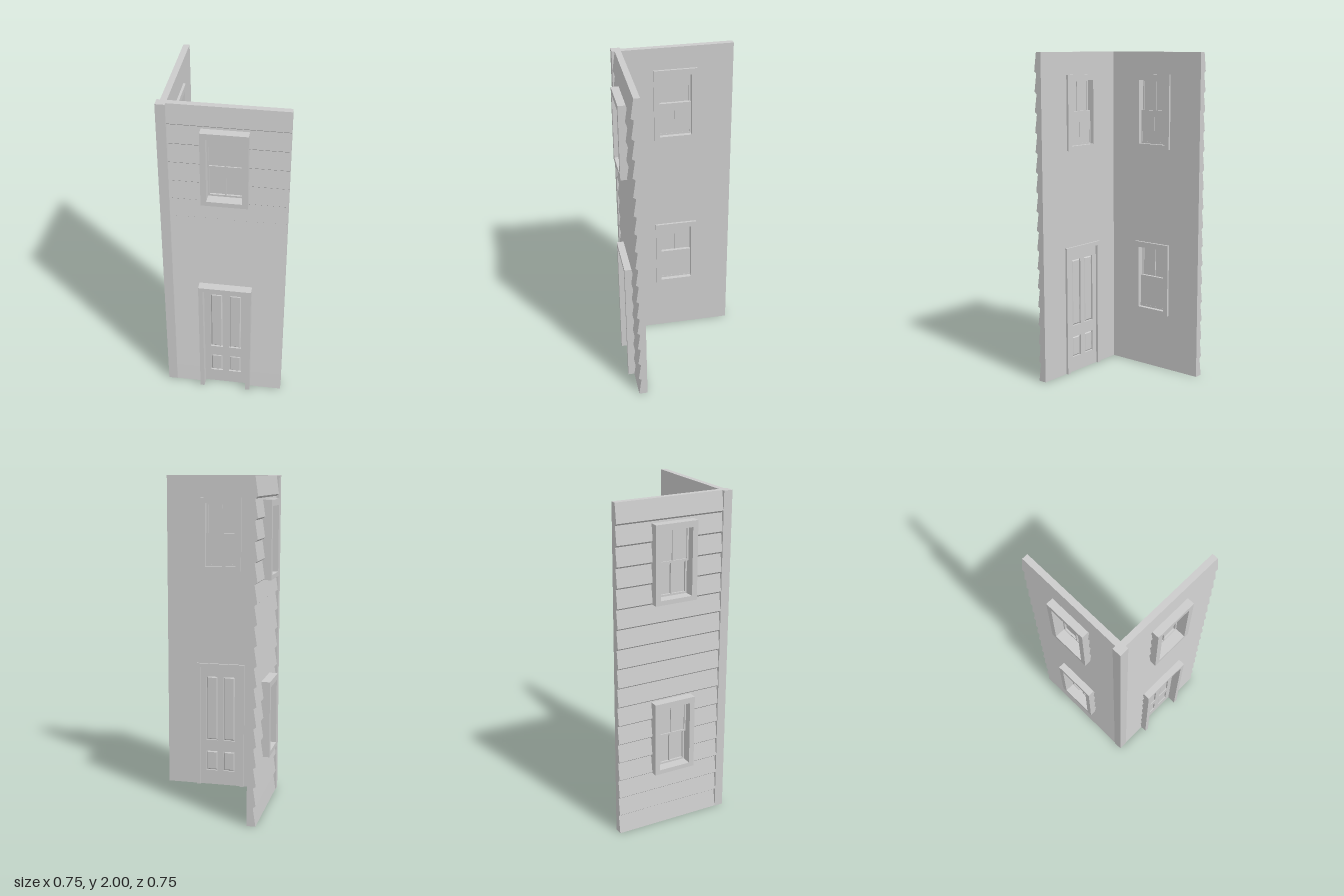
import * as THREE from 'three';

const material = new THREE.MeshStandardMaterial({ color: 0xcccccc, flatShading: true, side: THREE.DoubleSide });
const INNER = 0.287, LOW = 0.323, HIGH = 0.339; // wall depths: inside face, board top, board bottom
const PITCH = 2 / 17, LIP = 0.006;

function mesh(name, geometry) {
  const m = new THREE.Mesh(geometry, material);
  m.name = name;
  return m;
}

function box(name, x0, x1, y0, y1, z0, z1) {
  const g = new THREE.BoxGeometry(x1 - x0, y1 - y0, z1 - z0);
  g.translate((x0 + x1) / 2, (y0 + y1) / 2, (z0 + z1) / 2);
  return mesh(name, g);
}

function rect(Type, [x0, x1, y0, y1]) {
  return new Type([[x0, y0], [x1, y0], [x1, y1], [x0, y1]].map(p => new THREE.Vector2(...p)));
}

// Flat plate with rectangular holes, from depth z0 to z1
function plate(name, outer, holes, z0, z1) {
  const shape = rect(THREE.Shape, outer);
  shape.holes = holes.map(h => rect(THREE.Path, h));
  const g = new THREE.ExtrudeGeometry(shape, { depth: z1 - z0, bevelEnabled: false });
  g.translate(0, 0, z0);
  return mesh(name, g);
}

// Sawtooth outline of the clapboards as [height, depth] corners
const teeth = [[0, HIGH]];
for (let k = 1; k < 17; k++) teeth.push([k * PITCH - LIP, LOW], [k * PITCH + LIP, HIGH]);
teeth.push([2, LOW]);

function depthAt(y) {
  const i = Math.max(1, teeth.findIndex(t => t[0] >= y));
  const [a, b] = [teeth[i - 1], teeth[i]];
  return THREE.MathUtils.lerp(a[1], b[1], (y - a[0]) / (b[0] - a[0]));
}

// Stretch of clapboard wall between x0..x1 and y0..y1
function siding(x0, x1, y0, y1) {
  const points = [[INNER, y0], [depthAt(y0), y0]];
  for (const [y, d] of teeth) if (y > y0 && y < y1) points.push([d, y]);
  points.push([depthAt(y1), y1], [INNER, y1]);
  const shape = new THREE.Shape(points.map(p => new THREE.Vector2(...p)));
  const g = new THREE.ExtrudeGeometry(shape, { depth: x1 - x0, bevelEnabled: false });
  g.rotateY(-Math.PI / 2);
  g.translate(x1, 0, 0);
  return mesh('clapboardWall', g);
}

// Sash window: deep casing, outer upper sash, inner lower sash
function sashWindow(cx, y0) {
  const group = new THREE.Group();
  group.name = 'window';
  const l = -0.099, r = 0.099, bottom = 0.027, mid = 0.228, top = 0.42;
  group.add(plate('casing', [-0.131, 0.131, 0, 0.456], [[l, r, bottom, top]], 0.273, 0.377));
  const sash = (name, a, b, z0, z1, glass) => {
    const holes = [[l + 0.01, -0.004, a + 0.011, b - 0.008], [0.004, r - 0.01, a + 0.011, b - 0.008]];
    group.add(plate(name, [l, r, a, b], holes, z0, z1));
    group.add(box('glass', l + 0.004, r - 0.004, a + 0.004, b - 0.004, glass, glass + 0.003));
  };
  sash('upperSash', mid - 0.006, top, 0.315, 0.331, 0.321);
  sash('lowerSash', bottom, mid + 0.006, 0.299, 0.315, 0.3);
  group.position.set(cx, y0, 0);
  return group;
}

// Raised panel with sloping edges on both door faces
function raisedPanel([x0, x1, y0, y1]) {
  const i = 0.01;
  const g = new THREE.ExtrudeGeometry(rect(THREE.Shape, [x0 + i, x1 - i, y0 + i, y1 - i]),
    { depth: 0.02, bevelThickness: 0.005, bevelSize: 0.006, bevelSegments: 1 });
  g.translate(0, 0, 0.295);
  return mesh('doorPanel', g);
}

function panelDoor(cx) {
  const group = new THREE.Group();
  group.name = 'door';
  group.add(box('leftJamb', 0.131, 0.157, 0, 0.785, 0.273, 0.377));
  group.add(box('rightJamb', -0.157, -0.131, 0, 0.785, 0.273, 0.377));
  group.add(box('lintel', -0.157, 0.157, 0.785, 0.81, 0.273, 0.377));
  const panels = [];
  for (const [a, b] of [[0.095, 0.226], [0.3, 0.725]]) {
    panels.push([-0.095, -0.019, a, b], [0.019, 0.095, a, b]);
  }
  group.add(plate('doorFrame', [-0.131, 0.131, 0, 0.785], panels, 0.287, 0.323));
  group.add(box('doorCore', -0.125, 0.125, 0.01, 0.78, 0.298, 0.312));
  panels.forEach(p => group.add(raisedPanel(p)));
  group.position.x = cx;
  return group;
}

export function createModel() {
  const model = new THREE.Group();
  model.name = 'houseCorner';

  // Front wall, pieced around the door and the window
  const front = new THREE.Group();
  front.name = 'frontWall';
  front.add(
    siding(-0.289, -0.12, 0, 2), siding(0.17, 0.375, 0, 2),
    siding(-0.12, 0.17, 0.8, 1.425), siding(-0.12, 0.17, 1.85, 2),
    siding(-0.12, -0.09, 1.425, 1.85), siding(0.14, 0.17, 1.425, 1.85),
    panelDoor(0.026), sashWindow(0.026, 1.409));
  model.add(front);

  // Side wall, built like the front one and turned to face -x
  const side = new THREE.Group();
  side.name = 'sideWall';
  side.add(siding(-0.377, -0.14, 0, 2), siding(0.085, 0.287, 0, 2));
  for (const [a, b] of [[0, 0.37], [0.795, 1.425], [1.85, 2]]) side.add(siding(-0.14, 0.085, a, b));
  for (const y of [0.354, 1.409]) side.add(sashWindow(-0.028, y));
  side.rotation.y = -Math.PI / 2;
  model.add(side);

  // Square post where the walls meet
  model.add(box('cornerPost', -0.342, -0.287, 0, 2, 0.287, 0.341));
  return model;
}
